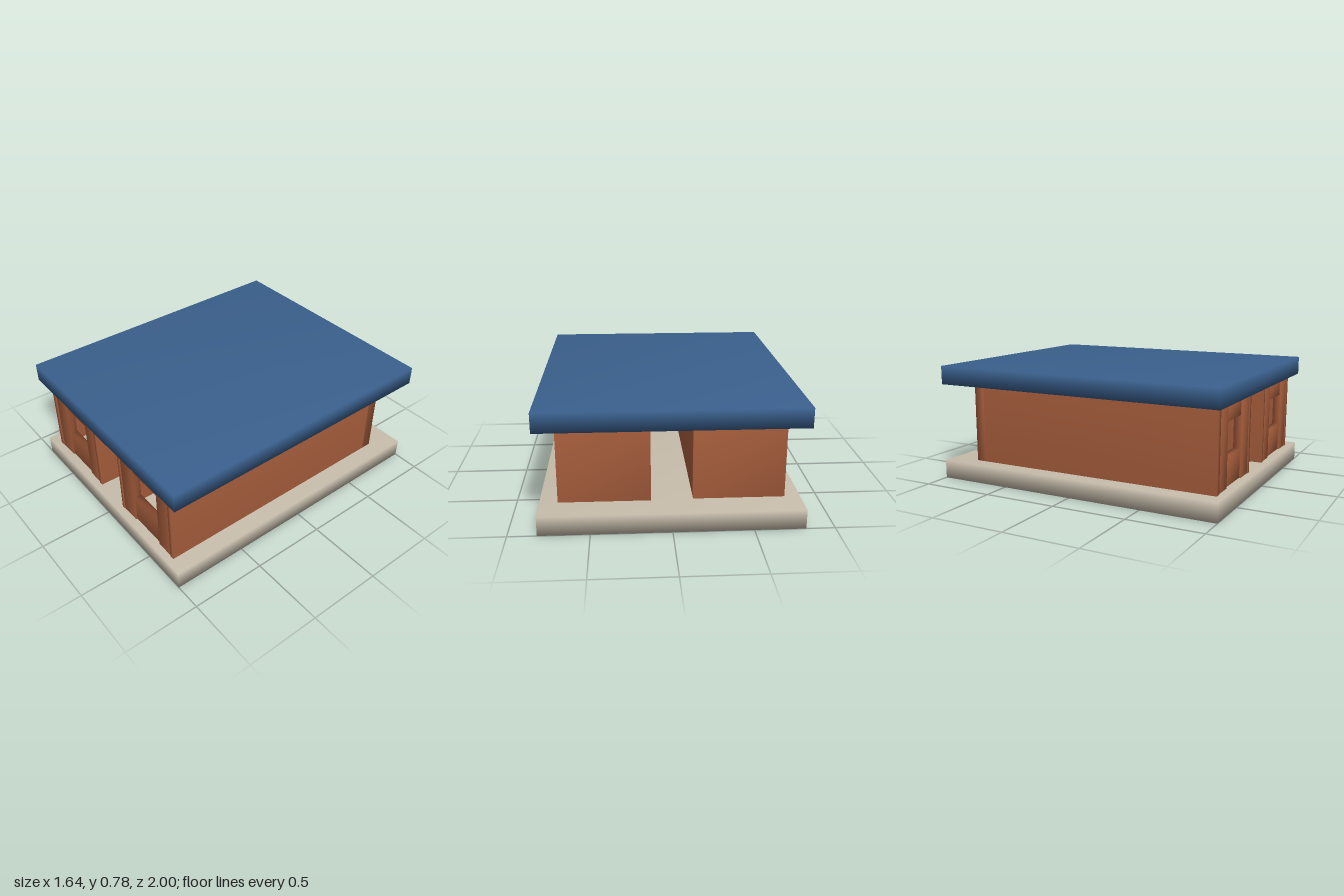
import * as THREE from 'three';
import { mergeVertices } from 'three/addons/utils/BufferGeometryUtils.js';

const mat = (name, color) => {
  const m = new THREE.MeshStandardMaterial({ color });
  m.name = name;
  return m;
};

// Box between two corners, with shared corner normals for soft shading
function slab(name, material, [x0, x1], [y0, y1], [z0, z1]) {
  let g = new THREE.BoxGeometry(x1 - x0, y1 - y0, z1 - z0);
  g.deleteAttribute('normal');
  g.deleteAttribute('uv');
  g = mergeVertices(g);
  g.computeVertexNormals();
  g.translate((x0 + x1) / 2, (y0 + y1) / 2, (z0 + z1) / 2);
  const mesh = new THREE.Mesh(g, material);
  mesh.name = name;
  return mesh;
}

export function createModel() {
  const stone = mat('stone', 0xc6bcab);
  const brick = mat('brick', 0xa45c3b);
  const roofBlue = mat('roof blue', 0x3a608d);

  const BASE = 0.125, EAVES = 0.655, FRONT = 0.955;
  const HEIGHT = [BASE, EAVES];

  const model = new THREE.Group();
  model.name = 'pavilion';
  model.add(
    slab('base', stone, [-0.82, 0.82], [0, BASE], [-1, 1]),
    slab('roof', roofBlue, [-0.82, 0.82], [EAVES, 0.78], [-1, 1])
  );

  // Hollow room: two side walls, a back wall, and a front wall around a window
  function room(name, x0, x1, w0, w1, t0, t1, back) {
    const g = new THREE.Group();
    g.name = name;
    const a = x0 + t0, b = x1 - t1;
    const front = [FRONT - 0.06, FRONT - 0.005];
    const infill = [FRONT - 0.06, FRONT - 0.015];
    g.add(
      slab('sideWall', brick, [x0, a], HEIGHT, [back + 0.07, FRONT]),
      slab('sideWall', brick, [b, x1], HEIGHT, [back + 0.07, FRONT]),
      slab('backWall', brick, [x0, x1], HEIGHT, [back, back + 0.07]),
      slab('frontPillar', brick, [a, w0], HEIGHT, front),
      slab('frontPillar', brick, [w1, b], HEIGHT, front),
      slab('windowSill', brick, [w0, w1], [BASE, 0.315], infill),
      slab('windowLintel', brick, [w0, w1], [0.53, EAVES], infill)
    );
    return g;
  }

  model.add(
    room('rightRoom', -0.72, -0.14, -0.545, -0.29, 0.04, 0.03, -0.8),
    room('leftRoom', 0.125, 0.705, 0.28, 0.55, 0.025, 0.03, -0.81)
  );
  return model;
}
